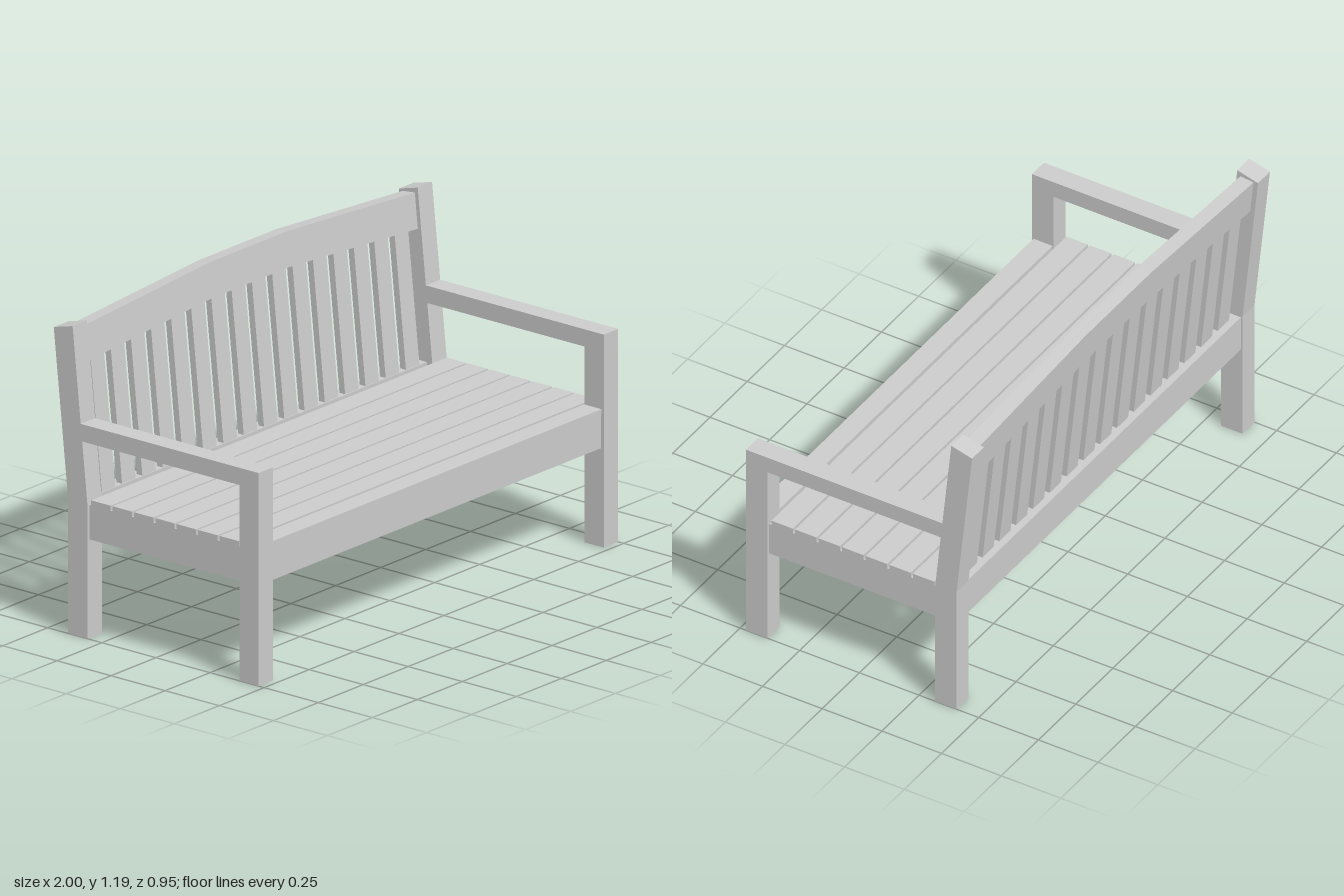
import * as THREE from 'three';

const material = new THREE.MeshStandardMaterial({ color: 0xcccccc, flatShading: true });
const LEAN = 0.105; // backward slope of the backrest, z per unit of height

export function createModel() {
  const bench = new THREE.Group();
  bench.name = 'bench';

  const add = (name, geometry, parent = bench) => {
    const mesh = new THREE.Mesh(geometry, material);
    mesh.name = name;
    parent.add(mesh);
    return mesh;
  };
  // Box given by its limits on each axis
  const beam = (name, [x0, x1], [y0, y1], [z0, z1], parent) => {
    const mesh = add(name, new THREE.BoxGeometry(x1 - x0, y1 - y0, z1 - z0), parent);
    mesh.position.set((x0 + x1) / 2, (y0 + y1) / 2, (z0 + z1) / 2);
    return mesh;
  };
  const shapeOf = (points) => new THREE.Shape(points.map(([a, b]) => new THREE.Vector2(a, b)));

  // Rear post: upright below the seat, leaning back above it (z, y profile)
  const postProfile = shapeOf([
    [-0.316, 0], [-0.316, 0.5], [-0.385, 1.163], [-0.472, 1.14], [-0.407, 0.52], [-0.407, 0],
  ]);
  const postGeometry = new THREE.ExtrudeGeometry(postProfile, { depth: 0.08, bevelEnabled: false });
  postGeometry.rotateY(-Math.PI / 2).translate(0.04, 0, 0);

  // Side frames
  for (const [side, s] of [['left', 1], ['right', -1]]) {
    const frame = new THREE.Group();
    frame.name = side + 'Frame';
    bench.add(frame);
    const span = (a, b) => (s > 0 ? [a, b] : [-b, -a]);
    beam('frontLeg', span(0.92, 1), [0, 0.738], [0.385, 0.475], frame);
    beam('armrest', span(0.92, 1), [0.738, 0.803], [-0.35, 0.475], frame);
    beam('sideRail', span(0.93, 0.99), [0.372, 0.502], [-0.32, 0.39], frame);
    add('rearPost', postGeometry, frame).position.x = s * 0.96;
  }

  // Long seat rails
  beam('frontRail', [-0.92, 0.92], [0.372, 0.504], [0.405, 0.462]);
  beam('rearRail', [-0.92, 0.92], [0.372, 0.515], [-0.4, -0.343]);

  // Seat slats; the front one fits between the legs
  beam('frontSeatSlat', [-0.917, 0.917], [0.503, 0.521], [0.387, 0.467]);
  for (let i = 0; i < 7; i++) {
    const z = 0.375 - i * 0.0988;
    beam('seatSlat', [-0.99, 0.99], [0.502, 0.521], [z - 0.09, z]);
  }

  // Backrest, built upright from its base and then leaned back
  const backrest = new THREE.Group();
  backrest.name = 'backrest';
  backrest.position.set(0, 0.5, -0.331);
  backrest.rotation.x = -Math.atan(LEAN);
  bench.add(backrest);

  // Arched top rail
  const railShape = shapeOf([
    [-0.92, 0.511], [-0.22, 0.558], [0.22, 0.558], [0.92, 0.511],
    [0.92, 0.645], [0.22, 0.69], [-0.22, 0.69], [-0.92, 0.645],
  ]);
  const railGeometry = new THREE.ExtrudeGeometry(railShape, { depth: 0.055, bevelEnabled: false });
  add('topRail', railGeometry, backrest).position.z = -0.055;

  // Upright back slats, reaching just into the top rail
  for (let i = 0; i < 16; i++) {
    const x = (i - 7.5) * 0.1128;
    const top = 0.575 - 0.047 * Math.max(0, (Math.abs(x) - 0.22) / 0.7);
    beam('backSlat', [x - 0.0375, x + 0.0375], [0.0, top], [-0.04, -0.014], backrest);
  }

  return bench;
}
